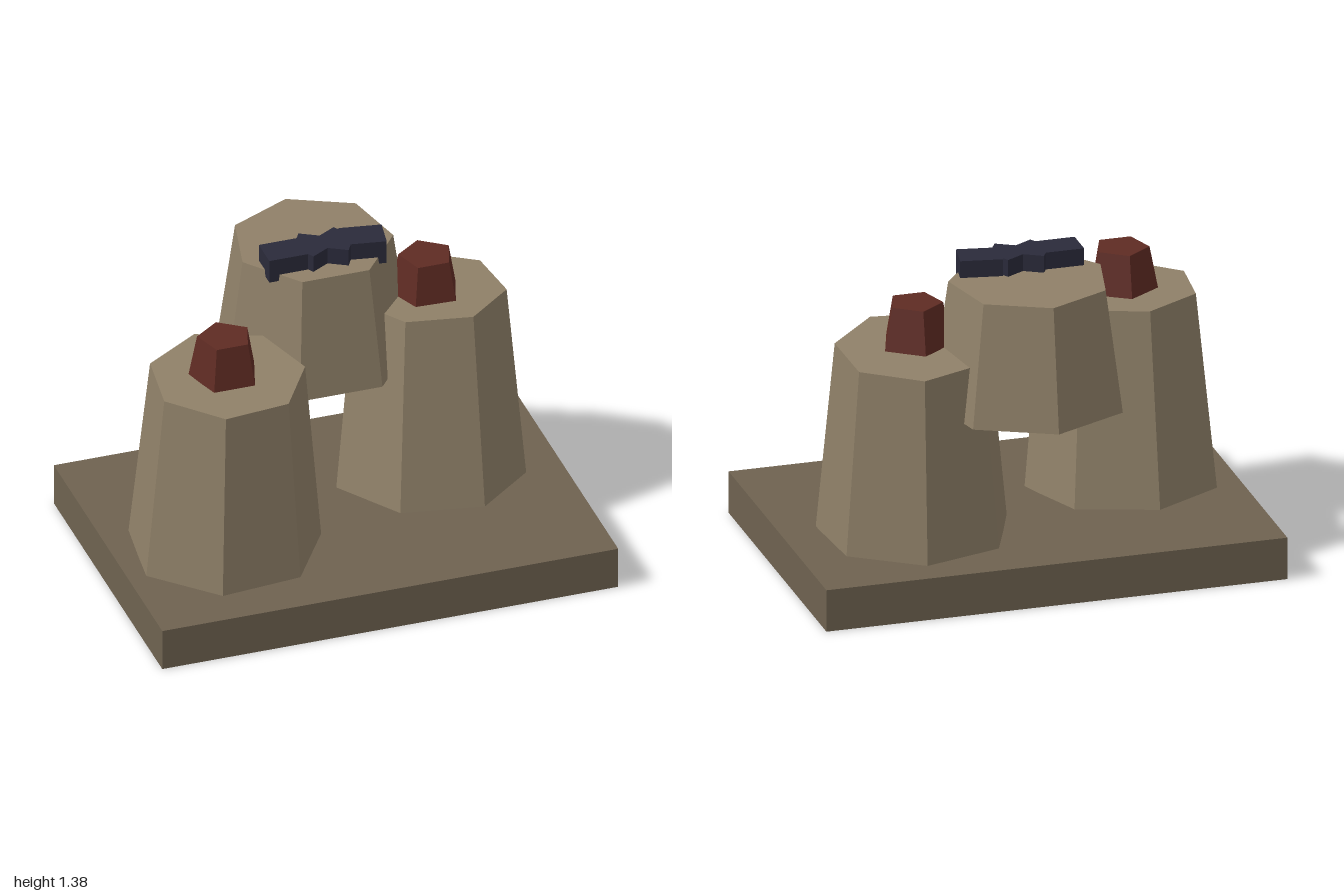
import * as THREE from 'three';

const mat = (color) => new THREE.MeshStandardMaterial({ color, flatShading: true });

export function createModel() {
  const model = new THREE.Group();
  const stone = mat(0x8f8068), slab = mat(0x6e6250), red = mat(0x5f2b23), navy = mat(0x2a2a3a);

  const add = (name, geometry, material, x, y, z) => {
    const mesh = new THREE.Mesh(geometry, material);
    mesh.name = name;
    mesh.position.set(x, y, z);
    model.add(mesh);
    return mesh;
  };

  // Tapered prism standing on its own origin, with its first corner turned by an angle
  const prism = (rTop, rBottom, height, sides, turn) =>
    new THREE.CylinderGeometry(rTop, rBottom, height, sides).rotateY(turn).translate(0, height / 2, 0);

  // Base slab
  add('base', new THREE.BoxGeometry(2, 0.185, 1.385), slab, 0, 0.0925, 0.0125);

  // Two slightly leaning heptagonal pillars
  add('rightPillar', prism(0.33, 0.41, 0.848, 7, 0.55), stone, -0.533, 0.184, 0.14).rotation.x = 0.042;
  add('leftPillar', prism(0.33, 0.41, 0.85, 7, 0.29), stone, 0.454, 0.185, -0.141).rotation.set(-0.077, 0, -0.025);

  // Raised block at the back, upright
  add('rearBlock', prism(0.339, 0.4156, 0.535, 7, Math.PI), stone, 0, 0.775, -0.294);

  // Five-sided caps on the pillars
  const cap = prism(0.116, 0.152, 0.187, 5, Math.PI);
  add('rightCap', cap, red, -0.54, 1.03, 0.167);
  add('leftCap', cap, red, 0.46, 1.03, -0.174);

  // Dark band on the rear block: two end pieces and two crossed bars
  [
    ['bandEndRight', 0.18, 0.135, -0.172, -0.143, 0],
    ['bandEndLeft', 0.18, 0.135, 0.172, -0.147, -0.17],
    ['bandBarA', 0.23, 0.09, 0, -0.147, -0.52],
    ['bandBarB', 0.23, 0.09, 0, -0.147, 0.52],
  ].forEach(([name, w, d, x, z, turn]) => {
    add(name, new THREE.BoxGeometry(w, 0.105, d), navy, x, 1.3325, z).rotation.y = turn;
  });

  return model;
}
